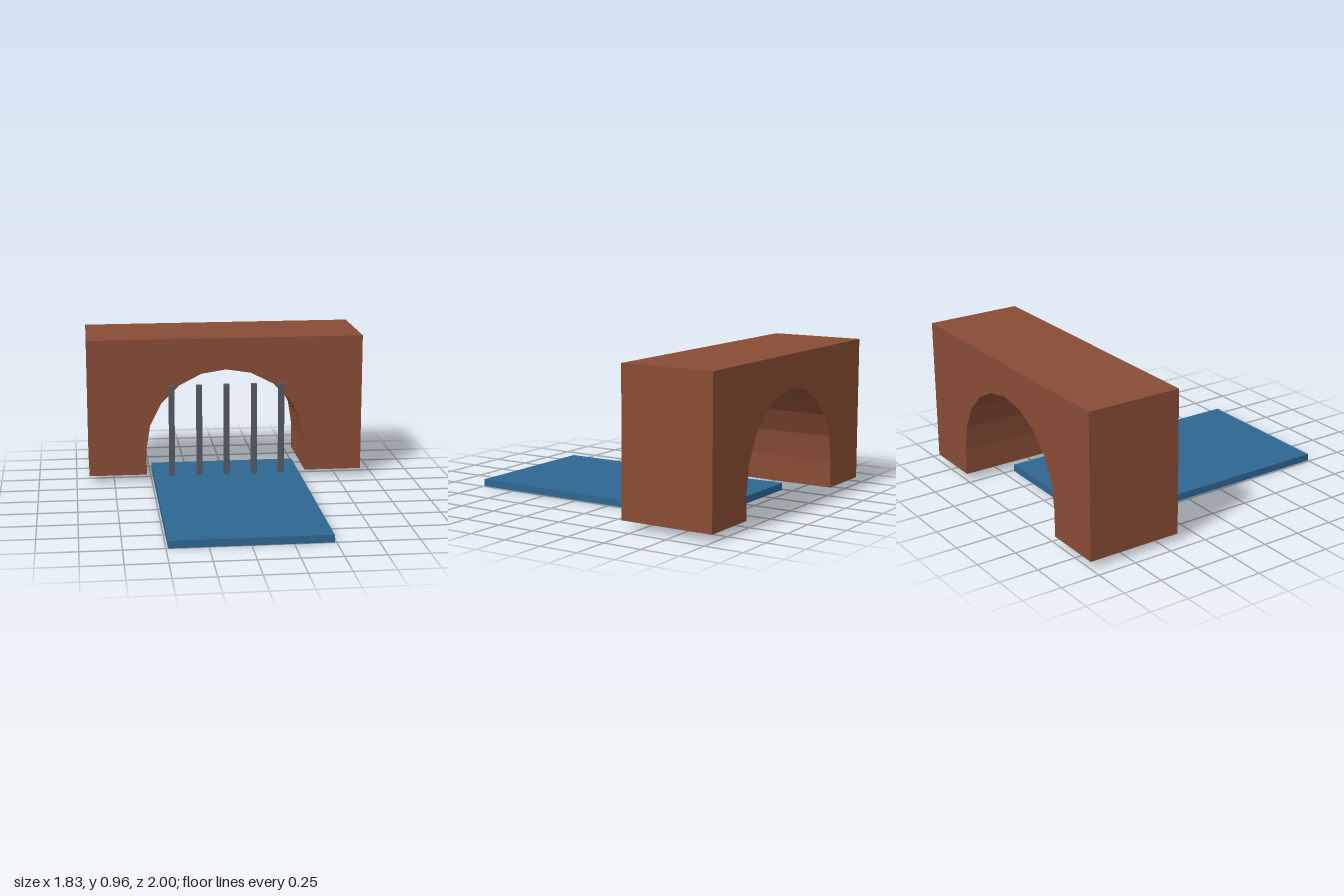
import * as THREE from 'three';

export function createModel() {
  const model = new THREE.Group();
  model.name = 'archGate';

  const brick = new THREE.MeshStandardMaterial({ color: 0x884c35 });
  brick.name = 'brickBrown';
  const blue = new THREE.MeshStandardMaterial({ color: 0x2d6691 });
  blue.name = 'roadBlue';
  const iron = new THREE.MeshStandardMaterial({ color: 0x555a62 });
  iron.name = 'ironGrey';

  const add = (name, geometry, material, x, y, z) => {
    const mesh = new THREE.Mesh(geometry, material);
    mesh.name = name;
    mesh.position.set(x, y, z);
    model.add(mesh);
  };

  const floor = 0.046; // top of the roadway, foot of the wall

  // Wall block with a ten-sided round arch cut through it
  const halfWidth = 0.915, top = 0.962, radius = 0.534, spring = 0.218, sides = 10;
  const outline = new THREE.Shape();
  outline.moveTo(-halfWidth, floor);
  outline.lineTo(-radius, floor);
  for (let i = 0; i <= sides; i++) {
    const a = Math.PI * (1 - i / sides);
    outline.lineTo(radius * Math.cos(a), spring + radius * Math.sin(a));
  }
  outline.lineTo(radius, floor);
  outline.lineTo(halfWidth, floor);
  outline.lineTo(halfWidth, top);
  outline.lineTo(-halfWidth, top);
  outline.closePath();
  const wall = new THREE.ExtrudeGeometry(outline, { depth: 0.61, bevelEnabled: false });
  add('archWall', wall, brick, 0, 0, -1);

  // Flat roadway running out through the arch
  add('roadway', new THREE.BoxGeometry(0.976, floor, 1.68), blue, 0, floor / 2, 0.16);

  // Row of upright gate bars in front of the arch
  const barHeight = 0.612;
  const bar = new THREE.BoxGeometry(0.037, barHeight, 0.04);
  for (let i = -2; i <= 2; i++) {
    add(`gateBar${i + 3}`, bar, iron, i * 0.183, floor + barHeight / 2, -0.359);
  }

  return model;
}
